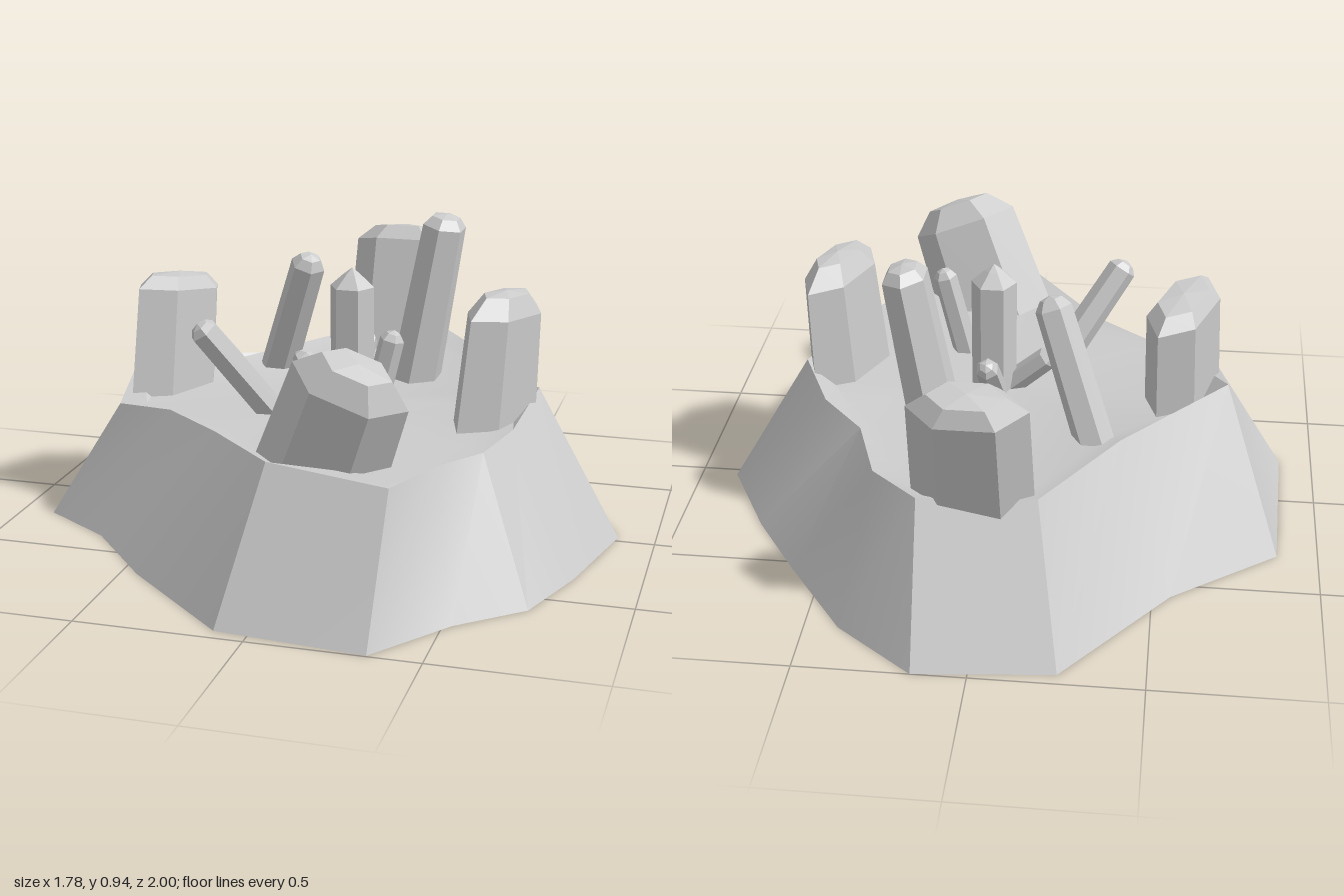
import * as THREE from 'three';
import { toCreasedNormals } from 'three/addons/utils/BufferGeometryUtils.js';

const FLOOR = 0.39;
const grey = new THREE.MeshStandardMaterial({ color: 0xcccccc });
const faceted = new THREE.MeshStandardMaterial({ color: 0xcccccc, flatShading: true });

// Foot of the mound: x, z
const foot = [
  [-0.25, -0.96], [0.16, -1], [0.4, -0.81], [0.59, -0.54], [0.74, -0.31], [0.885, -0.03],
  [0.8, 0.335], [0.71, 0.59], [0.525, 0.75], [0.345, 0.995], [-0.1, 0.955], [-0.45, 0.64],
  [-0.67, 0.385], [-0.895, 0.24], [-0.875, -0.315], [-0.555, -0.56],
];
// Rim of the mound: x, z, height
const rim = [
  [-0.17, -0.7, 0.41], [0.17, -0.76, 0.43], [0.32, -0.6, 0.41], [0.4, -0.35, 0.4],
  [0.53, -0.225, 0.42], [0.62, -0.05, 0.46], [0.585, 0.2, 0.4], [0.535, 0.4, 0.39],
  [0.435, 0.54, 0.39], [0.345, 0.76, 0.39], [-0.01, 0.75, 0.43], [-0.265, 0.45, 0.4],
  [-0.465, 0.29, 0.4], [-0.65, 0.24, 0.39], [-0.7, -0.08, 0.465], [-0.385, -0.355, 0.41],
];

// Closed mound: underside, sloping wall, rim and sunken floor, skinned ring to ring
function mound() {
  const rings = [
    foot.map(() => [0, 0, 0]),
    foot.map(([x, z]) => [x, 0, z]),
    rim.map(([x, z, h]) => [x, h, z]),
    rim.map(([x, z]) => [x * 0.88, FLOOR, z * 0.88]),
    rim.map(() => [0, FLOOR, 0]),
  ];
  const n = foot.length;
  const index = [];
  for (let r = 0; r < rings.length - 1; r++) {
    for (let i = 0; i < n; i++) {
      const a = r * n + i, b = r * n + (i + 1) % n;
      if (r > 0) index.push(a, a + n, b);
      if (r < 3) index.push(b, a + n, b + n);
    }
  }
  const geometry = new THREE.BufferGeometry();
  geometry.setAttribute('position', new THREE.Float32BufferAttribute(rings.flat(2), 3));
  geometry.setIndex(index);
  const mesh = new THREE.Mesh(toCreasedNormals(geometry, 0.5), grey);
  mesh.name = 'rockMound';
  return mesh;
}

// Six-sided crystal from base to tip; long/wide are half sizes, yaw turns the long side
function crystal({ name, base, tip, long, wide, yaw = 0, taper = 0.9, cap = 0.07, flat = 0.6, peak = 0.01 }) {
  const a = new THREE.Vector3(...base);
  const axis = new THREE.Vector3(...tip).sub(a);
  const height = axis.length();
  const profile = [[0, -0.1], [1, -0.1], [taper, height - cap], [taper * flat, height - peak], [0, height]]
    .map(([r, y]) => new THREE.Vector2(r, y));
  const geometry = new THREE.LatheGeometry(profile, 6);
  geometry.scale(wide / 0.866, 1, long);
  geometry.rotateY(yaw);
  const mesh = new THREE.Mesh(geometry, faceted);
  mesh.quaternion.setFromUnitVectors(new THREE.Vector3(0, 1, 0), axis.normalize());
  mesh.position.copy(a);
  mesh.name = name;
  return mesh;
}

const crystals = [
  // Four broad crystals around the rim
  { name: 'rightBroadCrystal', base: [-0.56, FLOOR, 0], tip: [-0.55, 0.755, -0.05], long: 0.19, wide: 0.085, yaw: -0.41, taper: 0.95, cap: 0.05, flat: 0.7 },
  { name: 'leftBroadCrystal', base: [0.505, FLOOR, 0.07], tip: [0.53, 0.79, 0.06], long: 0.205, wide: 0.085, yaw: -0.41, taper: 0.86, cap: 0.07 },
  { name: 'backBroadCrystal', base: [0.02, FLOOR, -0.665], tip: [0.02, 0.79, -0.785], long: 0.18, wide: 0.085, yaw: Math.PI / 2, taper: 0.95, cap: 0.06, flat: 0.65 },
  { name: 'frontBroadCrystal', base: [0.11, FLOOR, 0.58], tip: [0.235, 0.71, 0.675], long: 0.195, wide: 0.115, yaw: Math.PI / 2, taper: 0.9, cap: 0.08 },
  // Slender crystals standing inside
  { name: 'tallCrystal', base: [0.17, FLOOR, -0.305], tip: [0.265, 0.935, -0.305], long: 0.105, wide: 0.075, taper: 0.82, cap: 0.04, flat: 0.65 },
  { name: 'backLeaningCrystal', base: [-0.3, FLOOR, -0.31], tip: [-0.155, 0.8, -0.195], long: 0.06, wide: 0.055, yaw: 0.5, cap: 0.04 },
  { name: 'frontLeaningCrystal', base: [-0.17, FLOOR, 0.18], tip: [-0.365, 0.685, 0.305], long: 0.05, wide: 0.045, yaw: 0.5, cap: 0.03 },
  { name: 'frontSmallCrystal', base: [0.15, FLOOR, 0.205], tip: [0.22, 0.68, 0.2], long: 0.042, wide: 0.036, yaw: Math.PI / 2, cap: 0.03 },
  // Pointed centre crystal with three shoots
  { name: 'centreCrystal', base: [0.03, FLOOR, -0.02], tip: [0.03, 0.81, -0.02], long: 0.07, wide: 0.061, yaw: Math.PI / 2, taper: 1, cap: 0.06, flat: 0.4, peak: 0.022 },
  { name: 'backShoot', base: [0.02, FLOOR, -0.07], tip: [0.035, 0.56, -0.21], long: 0.04, wide: 0.035, cap: 0.03 },
  { name: 'sideShoot', base: [-0.02, FLOOR, -0.01], tip: [-0.16, 0.52, -0.035], long: 0.04, wide: 0.035, cap: 0.03 },
  { name: 'frontShoot', base: [0.045, FLOOR, 0.06], tip: [0.045, 0.56, 0.17], long: 0.045, wide: 0.037, cap: 0.03 },
];

export function createModel() {
  const group = new THREE.Group();
  group.name = 'crystalCluster';
  group.add(mound(), ...crystals.map(crystal));
  return group;
}
